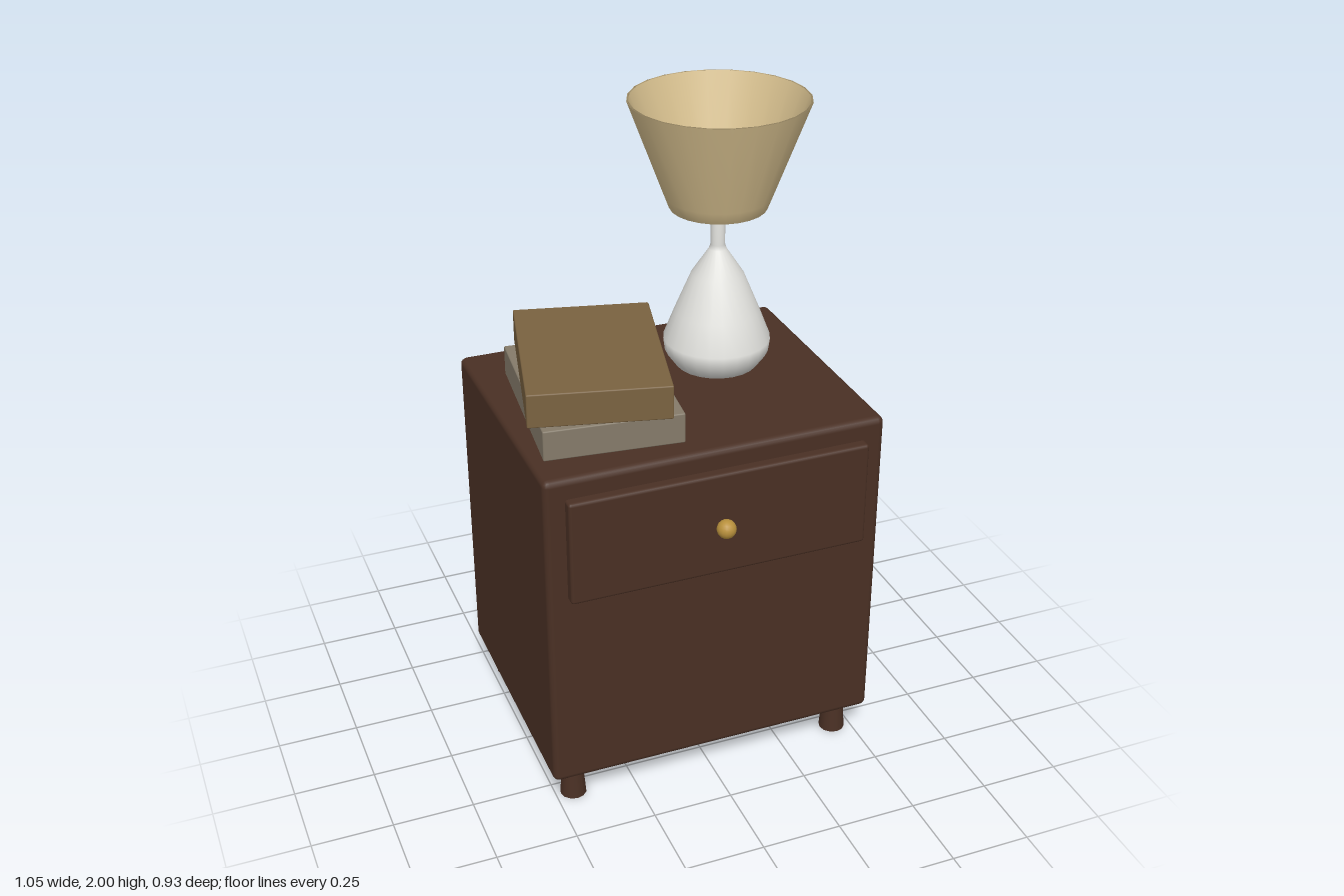
import * as THREE from 'three';
import { RoundedBoxGeometry } from 'three/addons/geometries/RoundedBoxGeometry.js';

const paint = (color, side = THREE.FrontSide) => {
  const m = new THREE.MeshStandardMaterial({ side });
  m.color.set(color);
  return m;
};

export function createModel() {
  const model = new THREE.Group();
  const wood = paint(0x4a3024);

  const add = (name, geometry, material, x, y, z, parent = model) => {
    const mesh = new THREE.Mesh(geometry, material);
    mesh.name = name;
    mesh.position.set(x, y, z);
    parent.add(mesh);
    return mesh;
  };
  const lathe = (points, segments) =>
    new THREE.LatheGeometry(points.map(([r, y]) => new THREE.Vector2(r, y)), segments);

  // Cabinet, drawer front and knob
  add('cabinet', new RoundedBoxGeometry(1.05, 1.05, 0.84, 2, 0.02), wood, 0, 0.635, -0.045);
  add('drawerFront', new RoundedBoxGeometry(0.926, 0.333, 0.06, 2, 0.01), wood, 0, 0.93, 0.377);
  add('drawerKnob', new THREE.SphereGeometry(0.029, 16, 12), paint(0xb8903c), 0, 0.93, 0.433);

  // Four legs, slightly wider at the floor
  const legGeometry = new THREE.CylinderGeometry(0.031, 0.041, 0.12, 12);
  for (const x of [-0.443, 0.443]) {
    for (const z of [-0.376, 0.298]) add('leg', legGeometry, wood, x, 0.06, z);
  }

  // Two stacked books, each turned a little
  const lower = add('lowerBook', new RoundedBoxGeometry(0.413, 0.094, 0.563, 1, 0.004),
    paint(0x857b6a), -0.25, 1.207, 0);
  lower.rotation.y = -0.105;
  const upper = add('upperBook', new RoundedBoxGeometry(0.413, 0.104, 0.563, 1, 0.004),
    paint(0x7a6240), -0.252, 1.307, 0);
  upper.rotation.y = -0.237;

  // Table lamp
  const lamp = new THREE.Group();
  lamp.name = 'lamp';
  lamp.position.set(0.21, 0, -0.15);
  model.add(lamp);

  add('lampBase', lathe([
    [0, 1.16], [0.128, 1.16], [0.16, 1.205], [0.165, 1.245],
    [0.13, 1.335], [0.08, 1.455], [0.027, 1.535],
    [0.022, 1.55], [0.022, 1.74], [0, 1.74],
  ], 24), paint(0xe2e2de), 0, 0, 0, lamp);

  add('bulb', new THREE.SphereGeometry(0.068, 10, 8), paint(0xffd090), 0, 1.78, 0, lamp);

  // Thin-walled flared shade, open at both ends
  add('shade', lathe([
    [0.138, 1.67], [0.147, 1.67], [0.161, 1.707], [0.27, 2],
    [0.263, 2], [0.155, 1.709], [0.138, 1.67],
  ], 24), paint(0xd6bf8e, THREE.DoubleSide), 0, 0, 0, lamp);

  return model;
}
